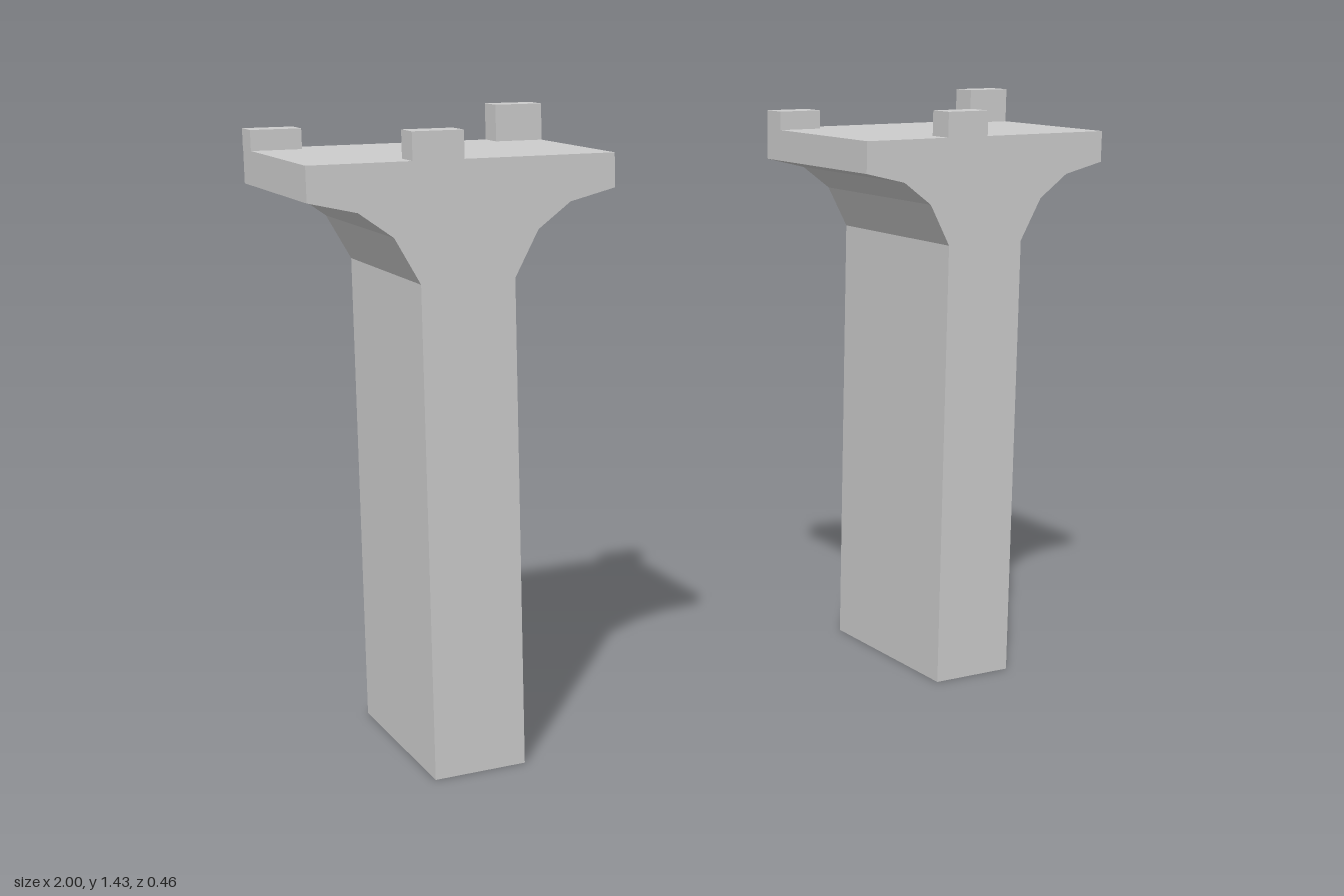
import * as THREE from 'three';

const DEPTH = 0.457;
const HALF_DEPTH = DEPTH / 2;
const DECK = 1.345; // height of the flat top
const BLOCK_W = 0.113, BLOCK_D = 0.064;

// right half of the pier outline, from the foot up to the cap
const HALF_OUTLINE = [
  [0.105, 0], [0.105, 1.09], [0.16, 1.19], [0.235, 1.245], [0.34, 1.27], [0.34, DECK],
];

// stop blocks: name, centre x, side of the deck in z, height
const BLOCKS = [
  ['lowBackBlock', -0.284, -1, 0.045],
  ['tallBackBlock', 0.284, -1, 0.083],
  ['frontBlock', -0.059, 1, 0.06],
];

function createPier(material) {
  const pier = new THREE.Group();

  // column with flared cap
  const left = HALF_OUTLINE.map(([x, y]) => [-x, y]).reverse();
  const outline = [...HALF_OUTLINE, ...left].map(([x, y]) => new THREE.Vector2(x, y));
  const bodyGeometry = new THREE.ExtrudeGeometry(new THREE.Shape(outline), {
    depth: DEPTH, bevelEnabled: false,
  });
  bodyGeometry.translate(0, 0, -HALF_DEPTH);
  const body = new THREE.Mesh(bodyGeometry, material);
  body.name = 'columnAndCap';
  pier.add(body);

  // stop blocks flush with the edges of the deck
  for (const [name, x, side, height] of BLOCKS) {
    const block = new THREE.Mesh(new THREE.BoxGeometry(BLOCK_W, height, BLOCK_D), material);
    block.position.set(x, DECK + height / 2, side * (HALF_DEPTH - BLOCK_D / 2));
    block.name = name;
    pier.add(block);
  }
  return pier;
}

export function createModel() {
  const model = new THREE.Group();
  model.name = 'bridgePiers';
  const material = new THREE.MeshStandardMaterial({ color: 0xcccccc, flatShading: true });

  // two identical piers side by side
  for (const [name, x] of [['rightPier', -0.66], ['leftPier', 0.66]]) {
    const pier = createPier(material);
    pier.name = name;
    pier.position.x = x;
    model.add(pier);
  }
  return model;
}
